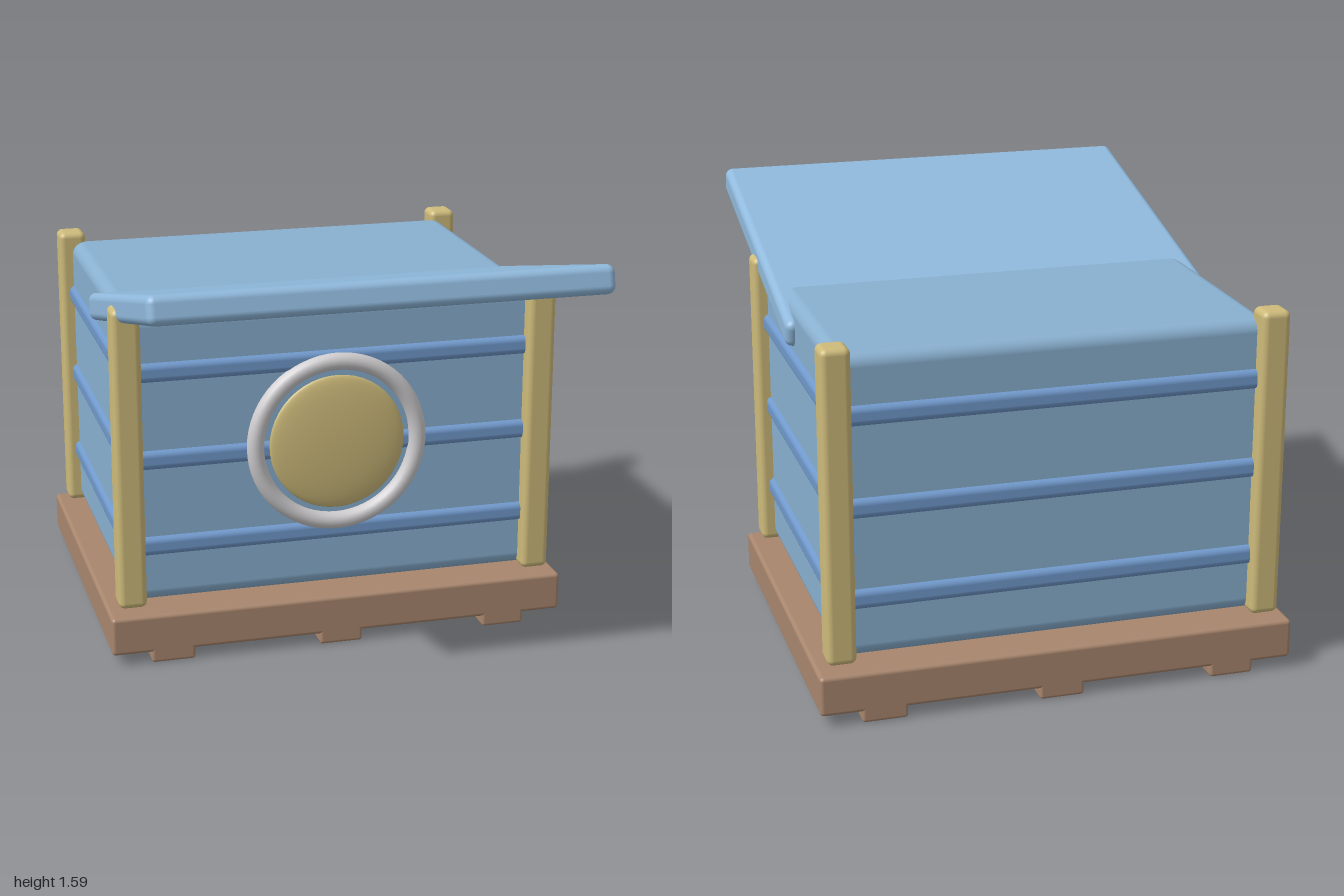
import * as THREE from 'three';
import { RoundedBoxGeometry } from 'three/addons/geometries/RoundedBoxGeometry.js';

const mat = (name, color) => {
  const m = new THREE.MeshStandardMaterial({ color });
  m.name = name;
  return m;
};

export function createModel() {
  const paint = {
    wall: mat('wall blue', 0x89b0d0),
    roof: mat('roof blue', 0x90b9dc),
    band: mat('band blue', 0x7099cc),
    post: mat('straw yellow', 0xcdba7a),
    wood: mat('base brown', 0xa8866d),
    ring: mat('ring grey', 0xcfcdcf),
    twig: mat('twig brown', 0x7d5f45),
  };
  const model = new THREE.Group();
  model.name = 'birdhouse';

  const add = (parent, name, geometry, material, x, y, z) => {
    const mesh = new THREE.Mesh(geometry, material);
    mesh.name = name;
    mesh.position.set(x, y, z);
    parent.add(mesh);
    return mesh;
  };
  const rbox = (w, h, d, r) => new RoundedBoxGeometry(w, h, d, 4, r);
  const midZ = -0.29;

  // Base board on three runners
  add(model, 'baseBoard', rbox(1.79, 0.15, 1.42, 0.015), paint.wood, 0, 0.118, midZ);
  for (const x of [-0.66, 0, 0.66]) {
    add(model, 'runner', rbox(0.168, 0.09, 1.42, 0.012), paint.wood, x, 0.045, midZ);
  }

  // House body with bands running round it
  add(model, 'body', rbox(1.61, 1.13, 1.23, 0.05), paint.wall, 0, 0.777, midZ);
  for (const y of [0.44, 0.782, 1.122]) {
    add(model, 'band', rbox(1.645, 0.075, 1.27, 0.025), paint.band, 0, y, midZ);
  }

  // Corner posts
  for (const x of [-0.803, 0.803]) {
    for (const z of [0.328, -0.905]) {
      add(model, 'cornerPost', rbox(0.108, 1.17, 0.11, 0.024), paint.post, x, 0.797, z);
    }
  }

  // Round door and its ring
  const door = add(model, 'door', new THREE.SphereGeometry(0.264, 48, 24), paint.post, 0, 0.8, 0.347);
  door.scale.z = 0.12;
  add(model, 'doorRing', new THREE.TorusGeometry(0.318, 0.033, 16, 64), paint.ring, 0, 0.8, 0.345);

  // Sloping roof slab, raised at the front
  const roof = new THREE.Group();
  roof.name = 'roof';
  roof.position.set(0, 1.385, 0.365);
  roof.rotation.x = -0.248;
  model.add(roof);
  add(roof, 'roofSlab', rbox(1.676, 0.106, 1.3, 0.03), paint.roof, 0, 0, 0);

  // Thin twigs under the roof: outer x, inner x, outer distance along the slope
  for (const [x1, x2, z1] of [
    [-0.36, -0.24, 0.03], [-0.22, -0.04, 0.13], [-0.08, 0.11, 0.23], [0.06, 0.25, 0.31],
  ]) {
    const a = new THREE.Vector3(x1, -0.055, z1);
    const b = new THREE.Vector3(x2, -0.055, -0.05);
    const dir = b.clone().sub(a);
    const mid = a.clone().add(b).multiplyScalar(0.5);
    const twig = add(roof, 'twig', new THREE.CylinderGeometry(0.008, 0.008, dir.length(), 8), paint.twig, mid.x, mid.y, mid.z);
    twig.quaternion.setFromUnitVectors(new THREE.Vector3(0, 1, 0), dir.normalize());
  }
  return model;
}
